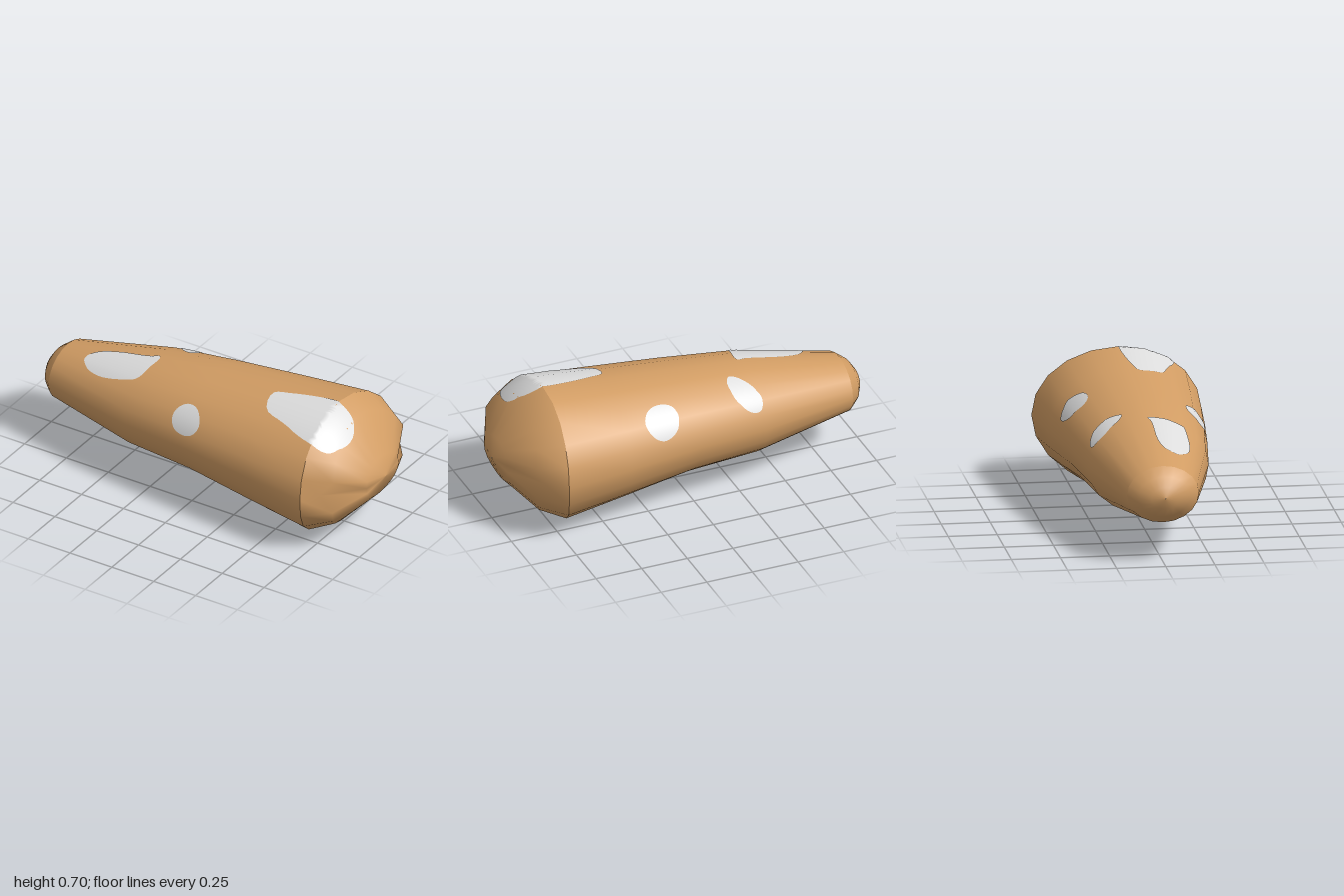
import * as THREE from 'three';

const SIDES = 20;

// Cross-sections: [x at side, x at top, x at bottom, top y, bottom y, half depth]
const tail = [-0.9, -0.9, -0.9, 0.5, 0.207, 0.183];
const rim = [0.76, 0.72, 0.67, 0.703, 0.002, 0.432];
const noseRings = [
  [-1, -1, -1, 0.357, 0.353, 0.002],
  [-0.987, -0.987, -0.987, 0.41, 0.298, 0.07],
  [-0.955, -0.955, -0.955, 0.458, 0.25, 0.132],
  tail,
];
const trunkRings = [
  tail,
  [-0.38, -0.37, -0.38, 0.605, 0.12, 0.307],
  [0, 0, 0.02, 0.641, 0.108, 0.355],
  [0.4, 0.38, 0.36, 0.674, 0.053, 0.4],
  rim,
];
const capRings = [
  rim,
  [0.9, 0.83, 0.79, 0.65, 0.065, 0.345],
  [0.98, 0.97, 0.96, 0.46, 0.24, 0.15],
  [1, 1, 1, 0.357, 0.353, 0.002],
];

// Smooth skin through a list of cross-sections; dent(ring, side) pushes a point in along x
function loft(rings, dent = () => 0) {
  const pos = [], index = [];
  rings.forEach(([xs, xt, xb, yt, yb, rz], i) => {
    for (let j = 0; j < SIDES; j++) {
      const a = (j / SIDES) * Math.PI * 2, s = Math.sin(a);
      const x = xs + ((s > 0 ? xt : xb) - xs) * s * s - dent(i, j);
      pos.push(x, (yt + yb) / 2 + ((yt - yb) / 2) * s, rz * Math.cos(a));
      if (i + 1 < rings.length) {
        const p = i * SIDES + j, q = i * SIDES + ((j + 1) % SIDES);
        index.push(p, p + SIDES, q, p + SIDES, q + SIDES, q);
      }
    }
  });
  const g = new THREE.BufferGeometry();
  g.setAttribute('position', new THREE.Float32BufferAttribute(pos, 3));
  g.setIndex(index);
  g.computeVertexNormals();
  return g;
}

function oval(u, v, ru, rv) {
  return Array.from({ length: 12 }, (_, i) => {
    const a = (i / 12) * Math.PI * 2;
    return [u + ru * Math.cos(a), v + rv * Math.sin(a)];
  });
}

// Thin patch laid over the skin: an outline in (x, v) is cast along an axis onto the body
function patch(outline, axis, targets) {
  const curve = new THREE.CatmullRomCurve3(outline.map(([u, v]) => new THREE.Vector3(u, v, 0)), true);
  const N = 40, RINGS = 10;
  const edge = curve.getPoints(N).slice(0, N);
  const mid = edge.reduce((s, p) => s.add(p), new THREE.Vector3()).divideScalar(N);
  const ray = new THREE.Raycaster();
  const pos = [], nor = [], index = [];
  const drop = (p) => {
    const from = axis.y ? new THREE.Vector3(p.x, 0.35, p.y) : new THREE.Vector3(p.x, p.y, 0);
    from.addScaledVector(axis, 3);
    ray.set(from, axis.clone().negate());
    const hit = ray.intersectObjects(targets)[0];
    if (!hit) return;
    const n = hit.normal || hit.face.normal;
    pos.push(...hit.point.addScaledVector(hit.face.normal, 0.004).toArray());
    nor.push(...n.toArray());
  };
  drop(mid);
  for (let r = 1; r <= RINGS; r++) edge.forEach((p) => drop(mid.clone().lerp(p, r / RINGS)));
  const at = (r, k) => (r === 0 ? 0 : 1 + (r - 1) * N + (k % N));
  for (let r = 0; r < RINGS; r++) {
    for (let k = 0; k < N; k++) {
      index.push(at(r, k), at(r + 1, k), at(r + 1, k + 1));
      if (r) index.push(at(r, k), at(r + 1, k + 1), at(r, k + 1));
    }
  }
  // Turn every triangle outward
  const v = (i) => new THREE.Vector3().fromArray(pos, i * 3);
  for (let t = 0; t < index.length; t += 3) {
    const a = v(index[t]);
    const n = v(index[t + 1]).sub(a).cross(v(index[t + 2]).sub(a));
    if (n.dot(axis) < 0) [index[t + 1], index[t + 2]] = [index[t + 2], index[t + 1]];
  }
  const g = new THREE.BufferGeometry();
  g.setAttribute('position', new THREE.Float32BufferAttribute(pos, 3));
  g.setAttribute('normal', new THREE.Float32BufferAttribute(nor, 3));
  g.setIndex(index);
  return g;
}

export function createModel() {
  const group = new THREE.Group();
  const tan = new THREE.MeshStandardMaterial({ color: 0xd29d64 });
  tan.name = 'tan skin';
  const white = new THREE.MeshStandardMaterial({ color: 0xdedede });
  white.name = 'pale spots';

  const add = (name, geometry, material) => {
    const mesh = new THREE.Mesh(geometry, material);
    mesh.name = name;
    group.add(mesh);
    return mesh;
  };

  // Rounded small end, tapering trunk and blunt large end with a nick on each side
  const nick = (i, j) => (i !== 1 ? 0 : j === 0 ? 0.08 : j === SIDES / 2 ? 0.045 : 0);
  const skin = [
    add('smallEnd', loft(noseRings), tan),
    add('trunk', loft(trunkRings), tan),
    add('largeEnd', loft(capRings, nick), tan),
  ];
  group.updateMatrixWorld(true);

  // Pale spots
  const up = new THREE.Vector3(0, 1, 0), down = new THREE.Vector3(0, -1, 0);
  const front = new THREE.Vector3(0, 0, 1);
  const spots = [
    ['topSpotSmallEnd', up, [[-0.74, 0.09], [-0.7, 0.04], [-0.6, 0.015], [-0.4, 0.012], [-0.35, 0],
      [-0.34, 0.02], [-0.35, 0.1], [-0.375, 0.175], [-0.44, 0.185], [-0.6, 0.178], [-0.7, 0.14]]],
    ['topSpotLargeEnd', up, [[0.37, 0.06], [0.45, 0.035], [0.6, 0.01], [0.72, 0.005], [0.82, 0.035],
      [0.865, 0.1], [0.865, 0.2], [0.83, 0.265], [0.76, 0.29], [0.65, 0.27], [0.52, 0.225], [0.4, 0.175]]],
    ['backSpotLarge', up, [[0.1, -0.28], [0.12, -0.325], [0.2, -0.357], [0.26, -0.345], [0.29, -0.31],
      [0.26, -0.255], [0.19, -0.228], [0.12, -0.24]]],
    ['backSpotSmall', up, [[-0.375, -0.24], [-0.36, -0.275], [-0.3, -0.283], [-0.24, -0.25],
      [-0.22, -0.16], [-0.245, -0.117], [-0.29, -0.13], [-0.355, -0.2]]],
    ['frontSpot', front, oval(0, 0.503, 0.085, 0.062)],
    ['undersideFrontSpot', down, oval(-0.025, 0.13, 0.075, 0.09)],
    ['undersideBackSpot', down, oval(0.04, -0.12, 0.06, 0.06)],
  ];
  for (const [name, axis, outline] of spots) add(name, patch(outline, axis, skin), white);
  return group;
}
